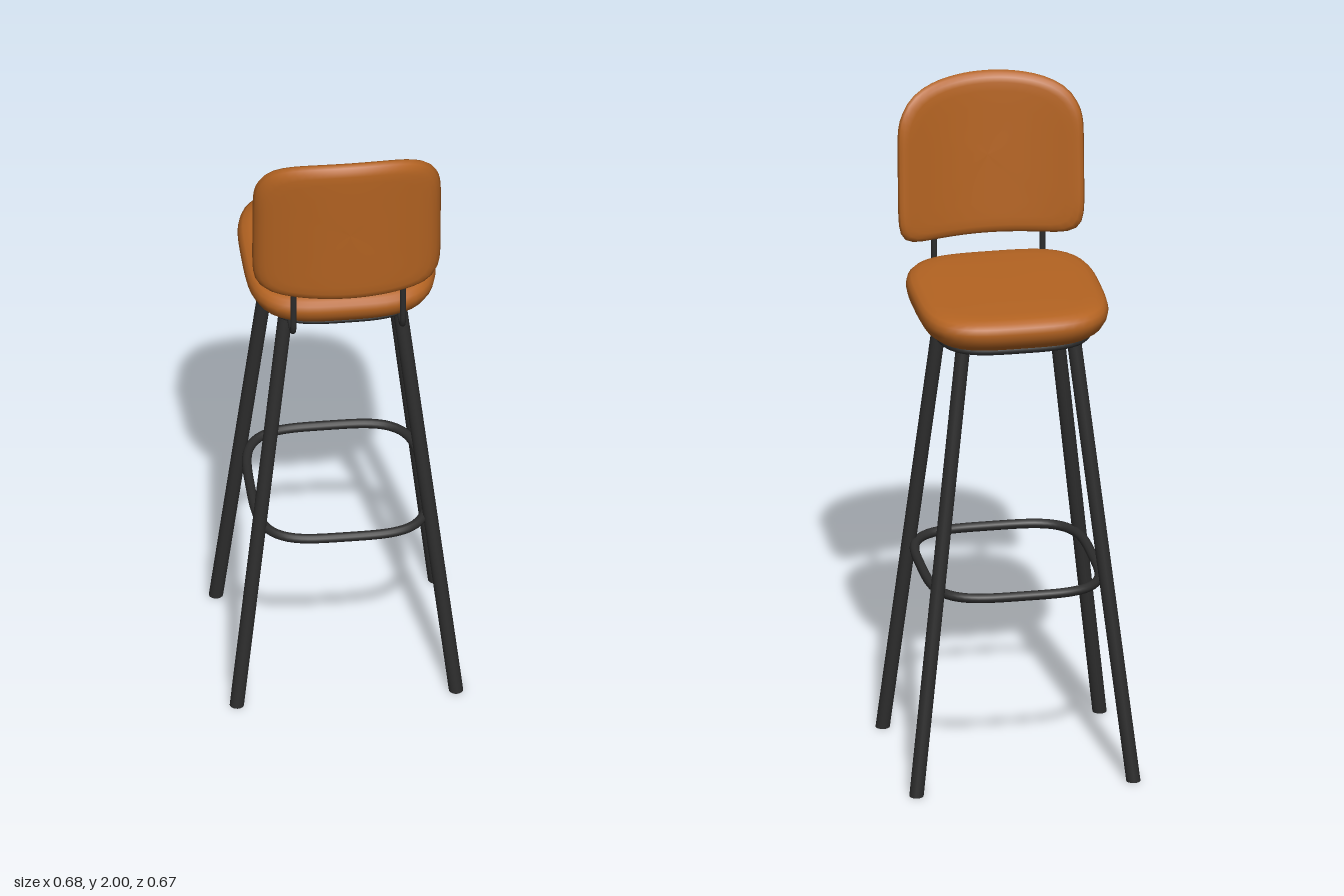
import * as THREE from 'three';

const leather = new THREE.MeshStandardMaterial({ color: 0xb56422 });
leather.name = 'tan leather';
const metal = new THREE.MeshStandardMaterial({ color: 0x2d2d2d });
metal.name = 'dark metal';

const CZ = -0.034; // centre of the seat along z

// Point on a rounded-square outline of half sizes a, b
function outline(angle, a, b, n) {
  const c = Math.cos(angle), s = Math.sin(angle);
  const r = Math.pow(Math.abs(c) ** n + Math.abs(s) ** n, -1 / n);
  return [a * r * c, b * r * s];
}

// Closed cushion: rings of the outline, scaled and raised along +z by [scale, height]
function cushion(point, profile, segs = 64) {
  const pos = [], idx = [];
  profile.forEach(([k, h]) => {
    for (let i = 0; i < segs; i++) {
      const [x, y] = point((i / segs) * Math.PI * 2);
      pos.push(x * k, y * k, h);
    }
  });
  for (let j = 0; j < profile.length - 1; j++) {
    for (let i = 0; i < segs; i++) {
      const a = j * segs + i, b = j * segs + (i + 1) % segs;
      const c = a + segs, d = b + segs;
      if (profile[j][0] > 0.001) idx.push(a, b, d);
      if (profile[j + 1][0] > 0.001) idx.push(a, d, c);
    }
  }
  const g = new THREE.BufferGeometry();
  g.setAttribute('position', new THREE.Float32BufferAttribute(pos, 3));
  g.setIndex(idx);
  g.computeVertexNormals();
  return g;
}

function add(group, name, geometry, material) {
  const mesh = new THREE.Mesh(geometry, material);
  mesh.name = name;
  group.add(mesh);
  return mesh;
}

function rod(from, to, radius) {
  const a = new THREE.Vector3(...from), b = new THREE.Vector3(...to);
  const dir = b.clone().sub(a);
  const g = new THREE.CylinderGeometry(radius, radius, dir.length(), 20);
  g.applyQuaternion(new THREE.Quaternion().setFromUnitVectors(new THREE.Vector3(0, 1, 0), dir.normalize()));
  const m = a.add(b).multiplyScalar(0.5);
  return g.translate(m.x, m.y, m.z);
}

export function createModel() {
  const stool = new THREE.Group();
  stool.name = 'barStool';

  // Padded seat
  const seat = cushion(t => outline(t, 0.279, 0.295, 3.5), [
    [0, 1.365], [0.8, 1.365], [0.87, 1.37], [0.94, 1.387], [0.985, 1.41], [1, 1.43],
    [0.985, 1.447], [0.95, 1.458], [0.88, 1.465], [0.75, 1.468], [0.4, 1.47], [0, 1.47],
  ]);
  seat.rotateX(-Math.PI / 2).translate(0, 0, CZ);
  add(stool, 'seatCushion', seat, leather);

  // Plate below the seat
  const plate = cushion(t => outline(t, 0.235, 0.248, 3.5), [
    [0, 1.346], [0.93, 1.346], [0.97, 1.348], [1, 1.358], [0.98, 1.368], [0.94, 1.372], [0, 1.372],
  ]);
  plate.rotateX(-Math.PI / 2).translate(0, 0, CZ);
  add(stool, 'seatPlate', plate, metal);

  // Curved backrest: wider arch at the top, wrapped forward at the sides
  const back = cushion(t => {
    const [x, y] = outline(t, 0.275, 0.25, Math.sin(t) > 0 ? 5.5 : 8);
    const up = Math.min(1, Math.max(0, y / 0.2));
    return [x, y - 0.045 * (x / 0.275) ** 2 * up];
  }, [
    [0, -0.026], [0.2, -0.026], [0.4, -0.026], [0.6, -0.026], [0.78, -0.026], [0.88, -0.025],
    [0.94, -0.021], [0.98, -0.012], [1, 0], [0.98, 0.012], [0.94, 0.021], [0.88, 0.025],
    [0.78, 0.026], [0.6, 0.026], [0.4, 0.026], [0.2, 0.026], [0, 0.026],
  ], 80);
  const p = back.attributes.position;
  for (let i = 0; i < p.count; i++) {
    const x = p.getX(i), y = p.getY(i);
    p.setXYZ(i, x, y + 1.75, p.getZ(i) + 0.299 + 0.05 * y - 0.075 * (x / 0.275) ** 2);
  }
  back.computeVertexNormals();
  add(stool, 'backrest', back, leather);

  // Splayed legs and bent backrest supports
  for (const sx of [-1, 1]) {
    for (const sz of [-1, 1]) {
      const leg = rod([sx * 0.32, 0.002, -0.048 + sz * 0.268], [sx * 0.163, 1.36, -0.048 + sz * 0.165], 0.021);
      const v = leg.attributes.position;
      for (let i = 0; i < v.count; i++) if (v.getY(i) < 0.05) v.setY(i, 0); // feet cut level
      add(stool, sz > 0 ? 'backLeg' : 'frontLeg', leg, metal);
    }
    const path = new THREE.CatmullRomCurve3([
      [1.6, 0.268], [1.5, 0.265], [1.41, 0.265], [1.385, 0.263], [1.365, 0.252],
      [1.357, 0.23], [1.356, 0.19], [1.356, 0.1],
    ].map(([y, z]) => new THREE.Vector3(sx * 0.16, y, z)));
    add(stool, 'backSupport', new THREE.TubeGeometry(path, 40, 0.009, 10), metal);
  }

  // Footrest ring
  const ring = [];
  for (let i = 0; i < 48; i++) {
    const [x, z] = outline((i / 48) * Math.PI * 2, 0.252, 0.271, 3.8);
    ring.push(new THREE.Vector3(x, 0.597, z + CZ + 0.004));
  }
  add(stool, 'footRing', new THREE.TubeGeometry(new THREE.CatmullRomCurve3(ring, true), 96, 0.014, 12, true), metal);

  return stool;
}
